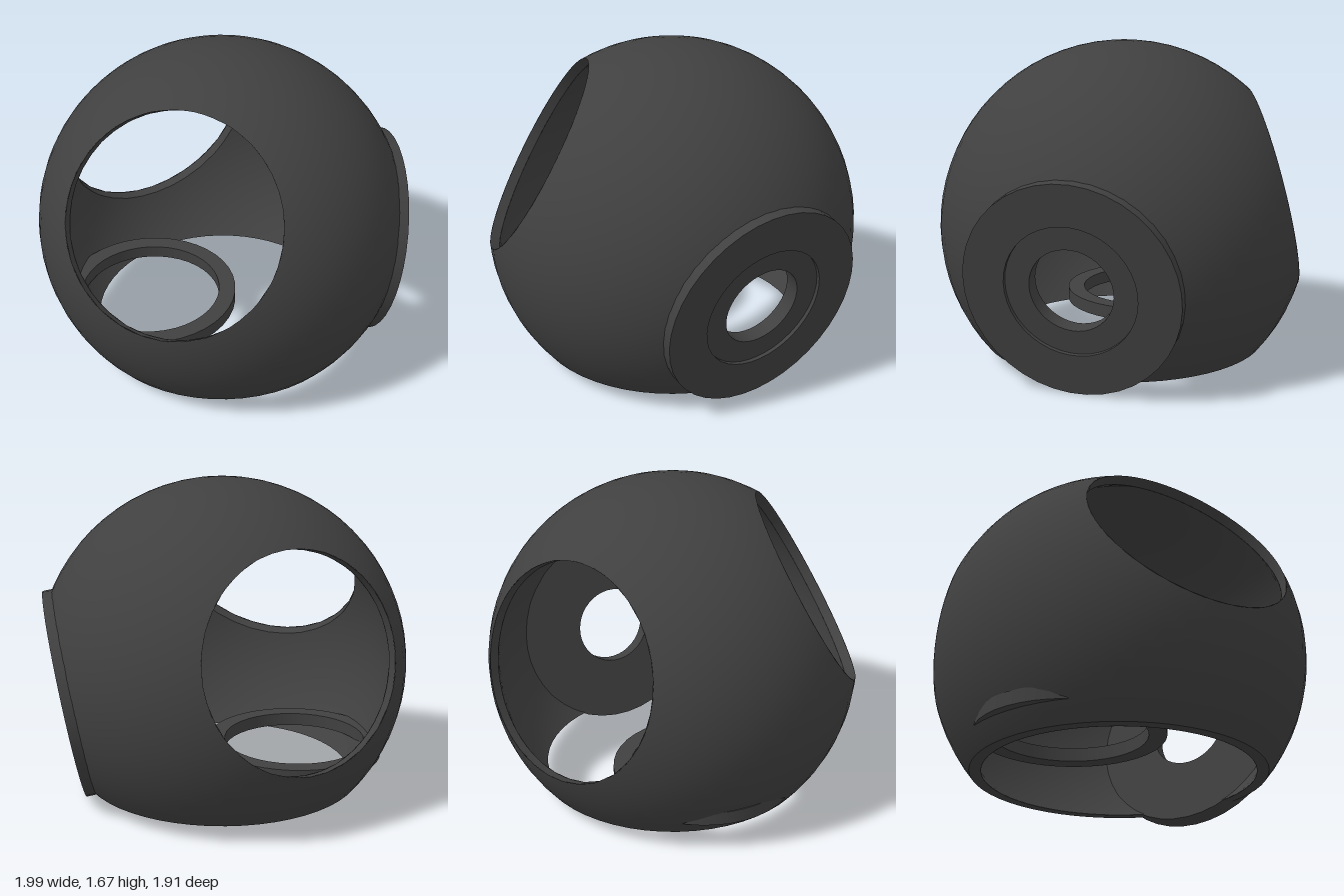
import * as THREE from 'three';

const OUTER = 0.975, INNER = 0.93, FLOOR = -0.62;
const material = new THREE.MeshStandardMaterial({ color: 0x404040, side: THREE.DoubleSide });
const UP = new THREE.Vector3(0, 1, 0);
const dir = (x, y, z) => new THREE.Vector3(x, y, z).normalize();

// circular ports through the shell, all aimed at the sphere centre
const ports = [
  { name: 'sideOpening', n: dir(-0.75, 0.5, 0.425), r: 0.552 },
  { name: 'backOpening', n: dir(0.18, 0.24, -0.95), r: 0.545 },
  { name: 'flangeOpening', n: dir(0.833, -0.18, 0.52), r: 0.548 },
];
const depth = (R, r) => Math.sqrt(R * R - r * r);

// keeps the part of a triangle geometry on the inner side of every plane
function clip(geometry, planes, normalAt) {
  const src = geometry.toNonIndexed().attributes.position;
  const pos = [], nor = [];
  for (let i = 0; i < src.count; i += 3) {
    let poly = [0, 1, 2].map((k) => new THREE.Vector3().fromBufferAttribute(src, i + k));
    for (const { n, d } of planes) {
      const next = [];
      poly.forEach((a, k) => {
        const b = poly[(k + 1) % poly.length];
        const da = a.dot(n) - d, db = b.dot(n) - d;
        if (da <= 0) next.push(a);
        if (da * db < 0) next.push(a.clone().lerp(b, da / (da - db)));
      });
      poly = next;
    }
    for (let k = 1; k + 1 < poly.length; k++) {
      for (const p of [poly[0], poly[k], poly[k + 1]]) {
        pos.push(p.x, p.y, p.z);
        nor.push(...normalAt(p).toArray());
      }
    }
  }
  const out = new THREE.BufferGeometry();
  out.setAttribute('position', new THREE.Float32BufferAttribute(pos, 3));
  out.setAttribute('normal', new THREE.Float32BufferAttribute(nor, 3));
  return out;
}

// one skin of the hollow ball, with every opening cut away
function skin(R, sign) {
  const planes = ports.map(({ n, r }) => ({ n, d: depth(R, r) }));
  planes.push({ n: dir(0, -1, 0), d: -FLOOR });
  const ball = new THREE.SphereGeometry(R, 56, 36);
  if (sign < 0) ball.scale(-1, 1, 1); // mirrored, so the faces look inward
  return clip(ball, planes, (p) => p.clone().normalize().multiplyScalar(sign));
}

// closed ring turned from corner points [radius, height], with hard edges
function turned(points, segments) {
  const group = new THREE.Group();
  points.forEach((p, i) => {
    const q = points[(i + 1) % points.length];
    const band = [p, q].map(([r, y]) => new THREE.Vector2(r, y));
    group.add(new THREE.Mesh(new THREE.LatheGeometry(band, segments), material));
  });
  return group;
}

export function createModel() {
  const model = new THREE.Group();
  const body = new THREE.Group();
  body.name = 'body';
  body.position.set(-0.02, 0.7, 0);
  model.add(body);
  const add = (object, name) => {
    object.name = name;
    object.traverse((o) => { if (o.isMesh) o.name = name; });
    body.add(object);
    return object;
  };

  // shell
  add(new THREE.Mesh(skin(OUTER, 1), material), 'outerShell');
  add(new THREE.Mesh(skin(INNER, -1), material), 'innerShell');

  // flat rim around the open bottom
  const rim = new THREE.RingGeometry(depth(INNER, FLOOR), depth(OUTER, FLOOR), 56);
  rim.rotateX(Math.PI / 2).translate(0, FLOOR, 0);
  const flange = ports[2];
  const rimPlane = { n: flange.n, d: depth(OUTER, flange.r) };
  add(new THREE.Mesh(clip(rim, [rimPlane], () => dir(0, -1, 0)), material), 'bottomRim');

  // walls of the two plain openings
  for (const { name, n, r } of ports.slice(0, 2)) {
    const wall = [depth(OUTER, r), depth(INNER, r)].map((d) => new THREE.Vector2(r, d));
    const mesh = add(new THREE.Mesh(new THREE.LatheGeometry(wall, 56), material), name + 'Wall');
    mesh.quaternion.setFromUnitVectors(UP, n);
  }

  // thick mounting flange with a shallow recess around its hole
  const plate = add(turned([
    [0.215, 0.75], [0.555, 0.75], [0.555, 0.852],
    [0.34, 0.852], [0.34, 0.832], [0.215, 0.832],
  ], 40), 'mountingFlange');
  plate.quaternion.setFromUnitVectors(UP, flange.n);

  // loose ring lying low inside, just breaking through the shell
  const ring = add(turned([
    [0.38, -0.525], [0.47, -0.525], [0.47, -0.455], [0.38, -0.455],
  ], 40), 'innerRing');
  ring.position.set(-0.32, 0, -0.235);

  return model;
}
